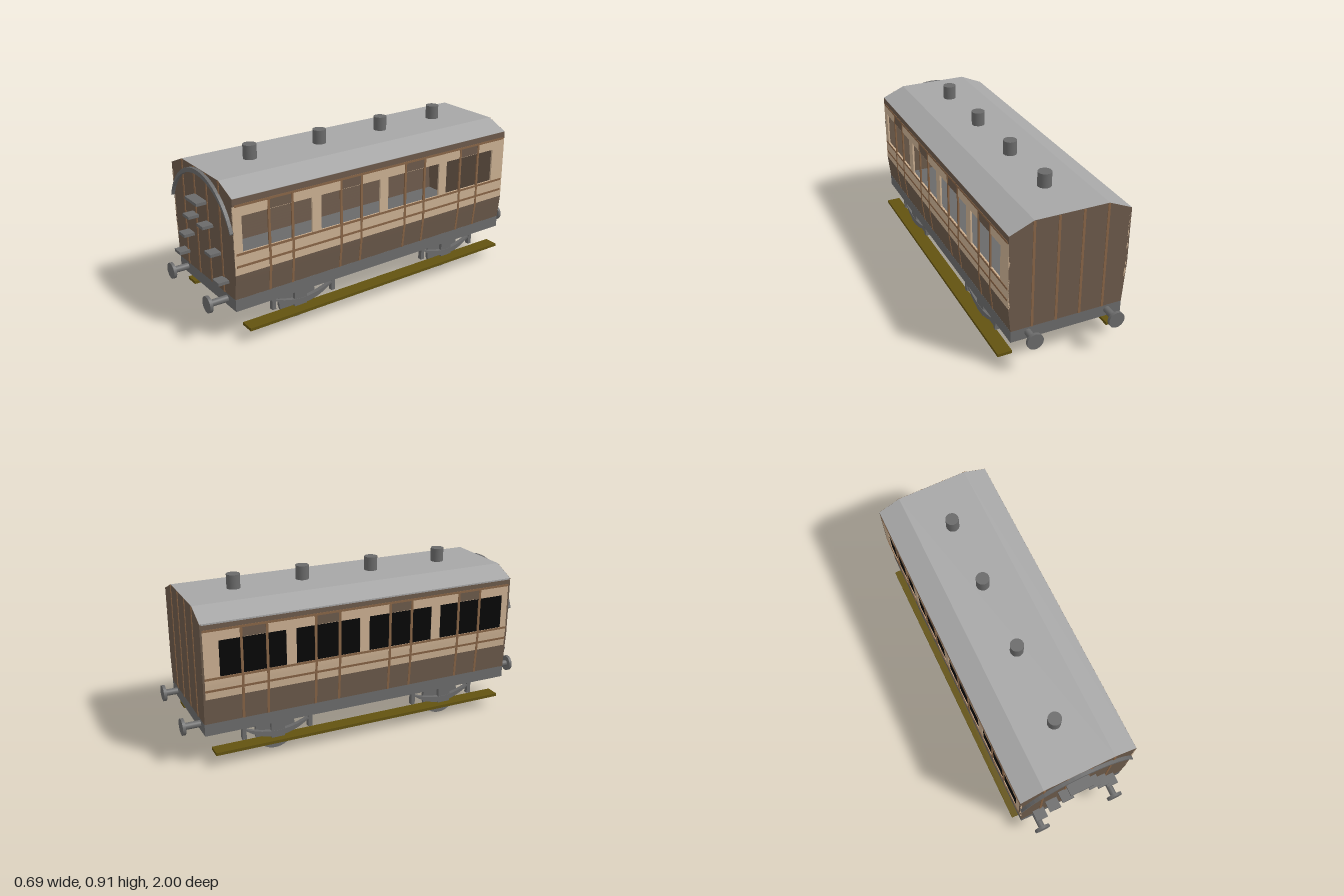
import * as THREE from 'three';

const mat = (name, color, side = THREE.FrontSide) => {
  const m = new THREE.MeshStandardMaterial({ color, side });
  m.name = name;
  return m;
};

export function createModel() {
  const M = {
    roof: mat('roof grey', 0xa6a6a6),
    iron: mat('iron grey', 0x6a6a6a),
    brown: mat('dark brown', 0x6b594a),
    trim: mat('trim brown', 0x876446),
    cream: mat('cream', 0xc9ae90),
    glass: mat('window black', 0x060606, THREE.DoubleSide),
    board: mat('footboard olive', 0x625210),
  };
  const model = new THREE.Group();
  model.name = 'railwayCarriage';
  const CX = -0.01, HALF = 0.3225, Z0 = -0.9, Z1 = 0.885, FLOOR = 0.238;

  const add = (name, geo, material) => {
    const mesh = new THREE.Mesh(geo, material);
    mesh.name = name;
    model.add(mesh);
    return mesh;
  };
  // Box given by its limits
  const box = (name, m, x0, x1, y0, y1, z0, z1) => {
    const g = new THREE.BoxGeometry(x1 - x0, y1 - y0, z1 - z0);
    g.translate((x0 + x1) / 2, (y0 + y1) / 2, (z0 + z1) / 2);
    return add(name, g, m);
  };
  // Cylinder along the chosen axis
  const rod = (name, m, r, len, axis, x, y, z, n = 32) => {
    const g = new THREE.CylinderGeometry(r, r, len, n);
    if (axis === 'x') g.rotateZ(Math.PI / 2);
    if (axis === 'z') g.rotateX(Math.PI / 2);
    g.translate(x, y, z);
    return add(name, g, m);
  };
  const extrude = (pts, depth, seg = 1) => new THREE.ExtrudeGeometry(
    new THREE.Shape(pts.map(([x, y]) => new THREE.Vector2(x, y))),
    { depth, bevelEnabled: false, steps: seg });

  // Chassis
  box('chassis', M.iron, -0.317, 0.298, 0.173, FLOOR, Z0, Z1);

  // Roof: thin shell with sloping shoulders
  const roofLine = [[-0.333, 0.775], [-0.208, 0.829], [0.185, 0.829], [0.312, 0.775]];
  const roofGeo = extrude([...roofLine, ...roofLine.map(([x, y]) => [x, y - 0.008]).reverse()], Z1 - Z0 - 0.002);
  add('roof', roofGeo.translate(0, 0, Z0 + 0.001), M.roof);
  for (const z of [-0.62, -0.235, 0.175, 0.6])
    rod('roofVent', M.iron, 0.036, 0.09, 'y', CX, 0.86, z);

  // End walls with upright trim
  const endLine = [[-0.317, FLOOR], [0.298, FLOOR], [0.312, 0.37],
    [0.312, 0.7745], [0.185, 0.8285], [-0.208, 0.8285], [-0.333, 0.7745], [-0.333, 0.46]];
  for (const [name, z, out] of [['frontWall', Z1 - 0.01, Z1], ['backWall', Z0, Z0 - 0.003]]) {
    add(name, extrude(endLine, 0.01).translate(0, 0, z), M.brown);
    for (const x of [-0.205, -0.075, 0.055, 0.185])
      box('endTrim', M.trim, x - 0.0065, x + 0.0065, FLOOR, 0.826, out, out + 0.003);
  }

  // Side panels: boxes that lean inwards below the bend
  const panel = (name, m, s, y0, y1, z0, z1, out = 0, thick = 0.01) => {
    const bend = s > 0 ? 0.37 : 0.46;
    const g = new THREE.BoxGeometry(thick, y1 - y0, z1 - z0, 1, 8, 1);
    g.translate(0, (y0 + y1) / 2, (z0 + z1) / 2);
    const p = g.attributes.position;
    for (let i = 0; i < p.count; i++) {
      const lean = 0.015 * Math.max(0, (bend - p.getY(i)) / (bend - FLOOR));
      p.setX(i, p.getX(i) + CX + s * (HALF - thick / 2 + out - lean));
    }
    g.computeVertexNormals();
    add(name, g, m);
  };
  const windows = [[0.438, 0.838], [0.008, 0.383], [-0.404, -0.046], [-0.81, -0.458]];
  const doors = [[0.554, 0.688], [0.131, 0.26], [-0.297, -0.163], [-0.694, -0.56]];
  for (const s of [1, -1]) {
    const a = Z0 + 0.01, b = Z1 - 0.01;
    panel('lowerPanel', M.brown, s, FLOOR, 0.375, Z0, Z1);
    panel('waistPanel', M.cream, s, 0.375, 0.49, Z0, Z1);
    panel('upperPanel', M.cream, s, 0.68, 0.735, Z0, Z1);
    panel('cornice', M.brown, s, 0.735, 0.774, Z0, Z1);
    // Pillars fill the gaps between the windows
    const edges = [Z1, ...windows.flatMap(([lo, hi]) => [hi, lo]), Z0];
    for (let i = 0; i < edges.length; i += 2)
      panel('windowPillar', M.cream, s, 0.49, 0.68, edges[i + 1], edges[i]);
    for (const y of [0.42, 0.484, 0.736])
      panel('sideTrim', M.trim, s, y - 0.006, y + 0.006, a, b, 0.002, 0.004);
    for (const [lo, hi] of doors) {
      panel('doorHead', M.brown, s, 0.682, 0.73, lo, hi, 0.001, 0.004);
      for (const z of [lo, hi])
        panel('doorTrim', M.trim, s, FLOOR, 0.735, z - 0.0065, z + 0.0065, 0.0025, 0.008);
    }
    // Dark panes fill the left-hand openings; the other side is open
    if (s < 0) for (const [lo, hi] of windows)
      panel('windowPane', M.glass, s, 0.49, 0.68, lo, hi, -0.003, 0.003);
  }

  // Arched rail on the front wall
  const arc = (w, yEnd, yTop, n = 24) => {
    const h = yTop - yEnd, r = (w * w + h * h) / (2 * h), half = Math.asin(w / r);
    return Array.from({ length: n + 1 }, (_, i) => {
      const t = -half + (2 * half * i) / n;
      return [CX + r * Math.sin(t), yTop - r + r * Math.cos(t)];
    });
  };
  add('frontArch', extrude([...arc(0.322, 0.6, 0.828), ...arc(0.319, 0.594, 0.803).reverse()], 0.018)
    .translate(0, 0, Z1), M.iron);

  // Climbing steps
  for (const [x0, x1, y] of [[-0.077, 0.053, 0.672], [-0.115, -0.05, 0.566], [0.04, 0.105, 0.566],
    [-0.181, -0.116, 0.442], [0.107, 0.172, 0.442], [-0.252, -0.187, 0.315], [0.176, 0.241, 0.315]])
    box('endStep', M.iron, x0, x1, y - 0.008, y + 0.008, Z1, 0.944);

  // Buffers
  for (const [x, tip] of [[-0.232, 0.985], [0.208, 1], [-0.235, -1], [0.206, -0.985]]) {
    const d = Math.sign(tip), base = d > 0 ? Z1 : Z0;
    rod('bufferShaft', M.iron, 0.018, Math.abs(tip - base), 'z', x, 0.21, (tip + base) / 2 - d * 0.005);
    rod('bufferHead', M.iron, 0.044, 0.016, 'z', x, 0.21, tip - d * 0.008);
  }

  // Running gear: wheels, axles, springs and hangers
  for (const [zw, zs] of [[0.5, 0.48], [-0.508, -0.51]]) {
    rod('axle', M.iron, 0.0125, 0.405, 'x', -0.0075, 0.134, zw, 20);
    for (const x of [-0.256, 0.24])
      rod('wheel', M.iron, 0.111, 0.018, 'x', x, 0.111, zw, 40);
    for (const x of [-0.3, 0.275]) {
      // Leaf spring: a sagging crescent
      const top = [], low = [];
      for (let i = 0; i <= 12; i++) {
        const t = -1 + i / 6;
        top.push([t * 0.18, 0.122 + 0.043 * t * t]);
        low.push([t * 0.18, 0.09 + 0.068 * t * t]);
      }
      const g = extrude([...low, ...top.reverse()], 0.024);
      g.rotateY(Math.PI / 2).translate(x - 0.012, 0, zs);
      add('leafSpring', g, M.iron);
      box('axleBox', M.iron, x - 0.01, x + 0.01, 0.084, 0.175, zw - 0.037, zw + 0.037);
      for (const d of [-1, 1])
        box('springHanger', M.iron, x - 0.0125, x + 0.0125, 0.108, 0.175,
          zs + d * 0.183 - 0.011, zs + d * 0.183 + 0.011);
    }
  }

  // Long footboards
  box('footboard', M.board, -0.347, -0.27, 0.068, 0.084, -0.857, 0.835);
  box('footboard', M.board, 0.267, 0.345, 0.068, 0.084, -0.857, 0.835);

  return model;
}
